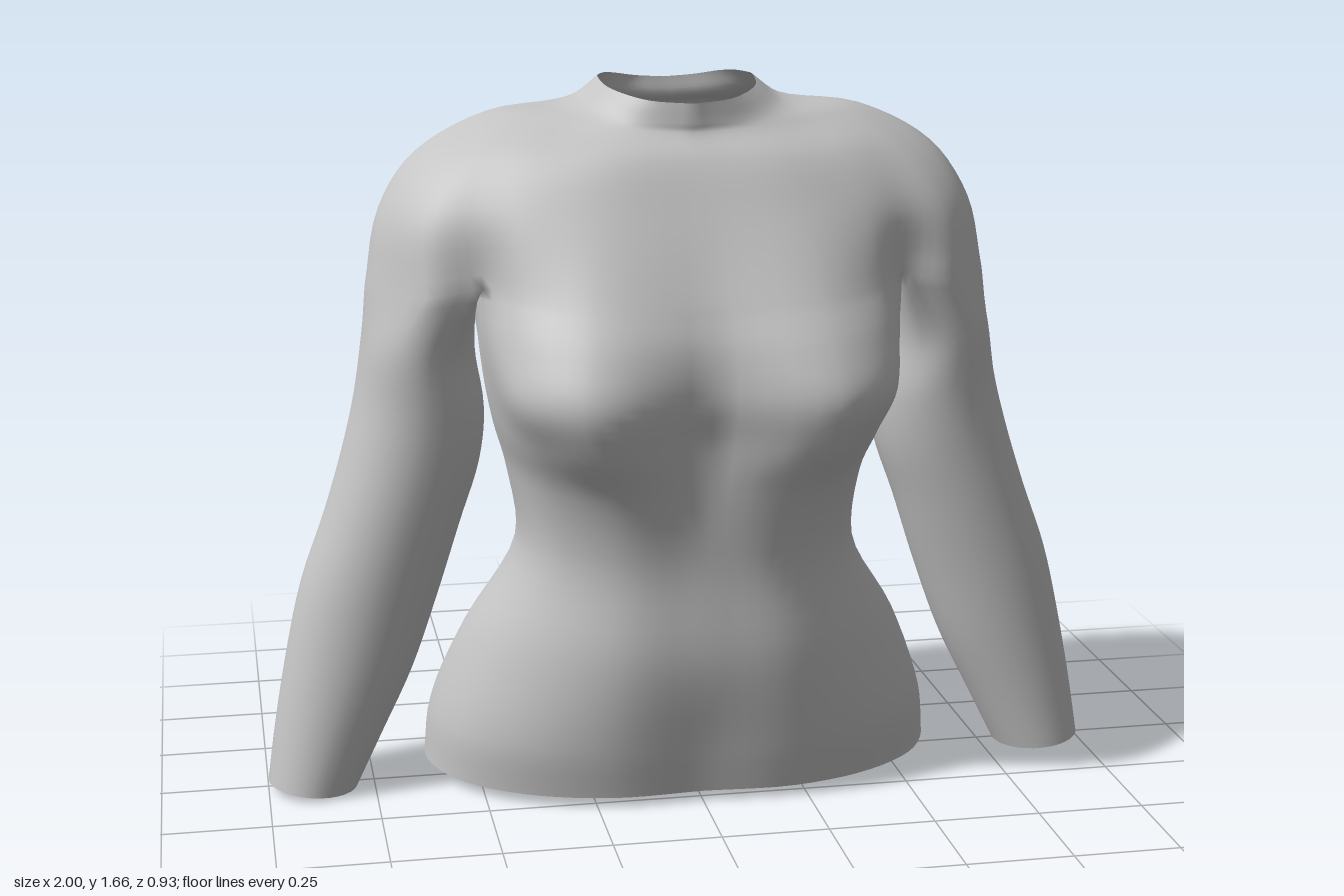
import * as THREE from 'three';
import { mergeVertices } from 'three/addons/utils/BufferGeometryUtils.js';

const K = 5; // subdivisions between control points
const vec = (p) => new THREE.Vector3(...p);

// Smooth curve through the points, K steps per span, exact at each point
function smooth(pts) {
  const curve = new THREE.CatmullRomCurve3(pts);
  const n = (pts.length - 1) * K;
  return Array.from({ length: n + 1 }, (_, i) => (i % K === 0 ? pts[i / K].clone() : curve.getPoint(i / n)));
}

// Cross-sections of one half run front centre -> side -> back centre.
// Trunk below the armpits: y, then x,z pairs from front to back
const TRUNK = [
  [0.025, 0, 0.28, 0.22, 0.285, 0.42, 0.22, 0.56, 0.10, 0.62, -0.08, 0.56, -0.28, 0.42, -0.40, 0.19, -0.465, 0, -0.41],
  [0.15, 0, 0.305, 0.22, 0.31, 0.42, 0.24, 0.555, 0.11, 0.605, -0.08, 0.55, -0.27, 0.42, -0.39, 0.19, -0.458, 0, -0.40],
  [0.36, 0, 0.345, 0.20, 0.335, 0.37, 0.25, 0.48, 0.13, 0.525, -0.03, 0.47, -0.19, 0.34, -0.27, 0.16, -0.315, 0, -0.275],
  [0.58, 0, 0.34, 0.18, 0.33, 0.31, 0.25, 0.38, 0.15, 0.402, 0.02, 0.37, -0.12, 0.27, -0.20, 0.13, -0.235, 0, -0.19],
  [0.76, 0, 0.35, 0.20, 0.375, 0.335, 0.28, 0.40, 0.15, 0.42, 0.02, 0.385, -0.12, 0.28, -0.205, 0.13, -0.235, 0, -0.185],
  [0.88, 0, 0.36, 0.25, 0.44, 0.38, 0.33, 0.44, 0.16, 0.45, 0, 0.41, -0.14, 0.30, -0.23, 0.14, -0.25, 0, -0.20],
  [0.99, 0, 0.385, 0.27, 0.468, 0.42, 0.365, 0.465, 0.17, 0.47, 0, 0.44, -0.16, 0.33, -0.27, 0.16, -0.29, 0, -0.235],
];
const BUST_TOP = [1.1, 0, 0.38, 0.26, 0.425, 0.415, 0.33, 0.48, 0.175, 0.475, -0.02, 0.46, -0.19, 0.36, -0.29, 0.18, -0.325, 0, -0.275];

// Armpit level, where trunk, sleeve and shoulders meet
const ARMPIT = [
  [0, 1.2, 0.345], [0.25, 1.2, 0.36], [0.40, 1.21, 0.275], [0.485, 1.22, 0.175], [0.61, 1.2, 0.16], [0.735, 1.2, -0.03],
  [0.63, 1.2, -0.22], [0.50, 1.18, -0.25], [0.38, 1.2, -0.315], [0.19, 1.2, -0.348], [0, 1.2, -0.30],
];
const UNDERARM = [0.482, 1.19, -0.03];

// Shoulder rows
const SHOULDER = [
  [[0, 1.38, 0.255], [0.22, 1.38, 0.255], [0.38, 1.38, 0.215], [0.49, 1.37, 0.165], [0.61, 1.36, 0.115], [0.70, 1.37, -0.05],
    [0.62, 1.37, -0.21], [0.50, 1.37, -0.285], [0.37, 1.38, -0.325], [0.19, 1.37, -0.355], [0, 1.37, -0.31]],
  [[0, 1.5, 0.19], [0.19, 1.5, 0.185], [0.34, 1.5, 0.145], [0.44, 1.5, 0.10], [0.54, 1.485, 0.055], [0.615, 1.495, -0.07],
    [0.55, 1.485, -0.18], [0.45, 1.49, -0.25], [0.33, 1.5, -0.29], [0.17, 1.5, -0.31], [0, 1.5, -0.285]],
  [[0, 1.555, 0.145], [0.15, 1.56, 0.12], [0.27, 1.565, 0.07], [0.34, 1.575, 0.03], [0.41, 1.58, -0.015], [0.44, 1.587, -0.08],
    [0.40, 1.58, -0.15], [0.34, 1.575, -0.2], [0.26, 1.575, -0.235], [0.13, 1.575, -0.265], [0, 1.57, -0.255]],
];
const NECKLINE = [
  [0, 1.62, 0.145], [0.09, 1.625, 0.115], [0.14, 1.635, 0.07], [0.17, 1.645, 0.02], [0.18, 1.652, -0.03], [0.182, 1.66, -0.08],
  [0.175, 1.66, -0.12], [0.155, 1.66, -0.16], [0.125, 1.655, -0.195], [0.07, 1.645, -0.22], [0, 1.64, -0.225],
];

// Sleeve, cuff upwards: y, inner x, outer x, front z, back z
const SLEEVE = [
  [0.011, 0.79, 1.0, 0.125, -0.11],
  [0.14, 0.727, 0.98, 0.125, -0.125],
  [0.3, 0.65, 0.95, 0.127, -0.145],
  [0.48, 0.585, 0.908, 0.13, -0.16],
  [0.65, 0.53, 0.847, 0.135, -0.165],
  [0.8, 0.48, 0.8, 0.14, -0.185],
  [0.92, 0.466, 0.77, 0.145, -0.205],
  [1.06, 0.485, 0.747, 0.155, -0.225],
];

const trunkRing = ([y, ...xz]) =>
  smooth(Array.from({ length: xz.length / 2 }, (_, i) => new THREE.Vector3(xz[2 * i], y, xz[2 * i + 1])));

// Oval sleeve ring starting at the front inner corner, tilted slightly at the cuff
function sleeveRing([y, xin, xout, zf, zb]) {
  const rx = (xout - xin) / 2, rz = (zf - zb) / 2;
  return Array.from({ length: 6 * K + 1 }, (_, i) => {
    const a = Math.PI * (2 / 3 - ((i % (6 * K)) / (3 * K)));
    return new THREE.Vector3((xin + xout) / 2 + rx * Math.cos(a), y + 0.1 * rx * Math.cos(a), (zf + zb) / 2 + rz * Math.sin(a));
  });
}

export function createModel() {
  const fabric = new THREE.MeshStandardMaterial({ color: 0xc4c4c4, side: THREE.DoubleSide });
  fabric.name = 'grey fabric';

  const positions = [], index = [];

  // Skin through a stack of rings, on the left (sign 1) or mirrored (sign -1)
  function loft(rings, sign) {
    const start = positions.length / 3;
    const cols = rings[0].map((_, c) => smooth(rings.map((r) => r[c])));
    const rows = cols[0].length;
    cols.forEach((col) => col.forEach((p) => positions.push(p.x * sign, p.y, p.z)));
    for (let c = 0; c < cols.length - 1; c++) {
      for (let r = 0; r < rows - 1; r++) {
        const a = start + c * rows + r, b = a + rows;
        if (sign > 0) index.push(a, b, b + 1, a, b + 1, a + 1);
        else index.push(a, b + 1, b, a, a + 1, b + 1);
      }
    }
  }

  // Shared armpit ring, cut into front, outer arm, back and underarm
  const ring = smooth(ARMPIT.map(vec));
  const front = ring.slice(0, 3 * K + 1);
  const outer = ring.slice(3 * K, 7 * K + 1);
  const back = ring.slice(7 * K);
  const under = smooth([outer[0], vec(UNDERARM), back[0]]);

  const trunk = [...TRUNK, BUST_TOP].map(trunkRing);
  trunk.push([...front, ...under.slice(1, -1), ...back]);

  const collarBase = NECKLINE.map(([x, y, z]) => [x * 1.36, y - 0.045, z]);
  const shoulders = [ring, ...[...SHOULDER, collarBase, NECKLINE].map((row) => smooth(row.map(vec)))];

  const sleeve = SLEEVE.map(sleeveRing);
  sleeve.push([...outer, ...under.slice(0, -1).reverse()]);

  // Build both halves, noting which faces belong to which part
  const parts = [];
  function part(name, build) {
    const from = index.length;
    build();
    parts.push({ name, from, to: index.length });
  }
  part('body', () => [1, -1].forEach((s) => { loft(trunk, s); loft(shoulders, s); }));
  part('leftSleeve', () => loft(sleeve, 1));
  part('rightSleeve', () => loft(sleeve, -1));

  // Weld so that the shading runs smoothly from part to part
  let skin = new THREE.BufferGeometry();
  skin.setAttribute('position', new THREE.Float32BufferAttribute(positions, 3));
  skin.setIndex(index);
  skin = mergeVertices(skin, 1e-4);
  skin.computeVertexNormals();

  const model = new THREE.Group();
  model.name = 'longSleeveTop';
  const welded = Array.from(skin.index.array);
  for (const { name, from, to } of parts) {
    const geometry = new THREE.BufferGeometry();
    geometry.setAttribute('position', skin.attributes.position);
    geometry.setAttribute('normal', skin.attributes.normal);
    geometry.setIndex(welded.slice(from, to));
    const mesh = new THREE.Mesh(geometry, fabric);
    mesh.name = name;
    model.add(mesh);
  }
  return model;
}
